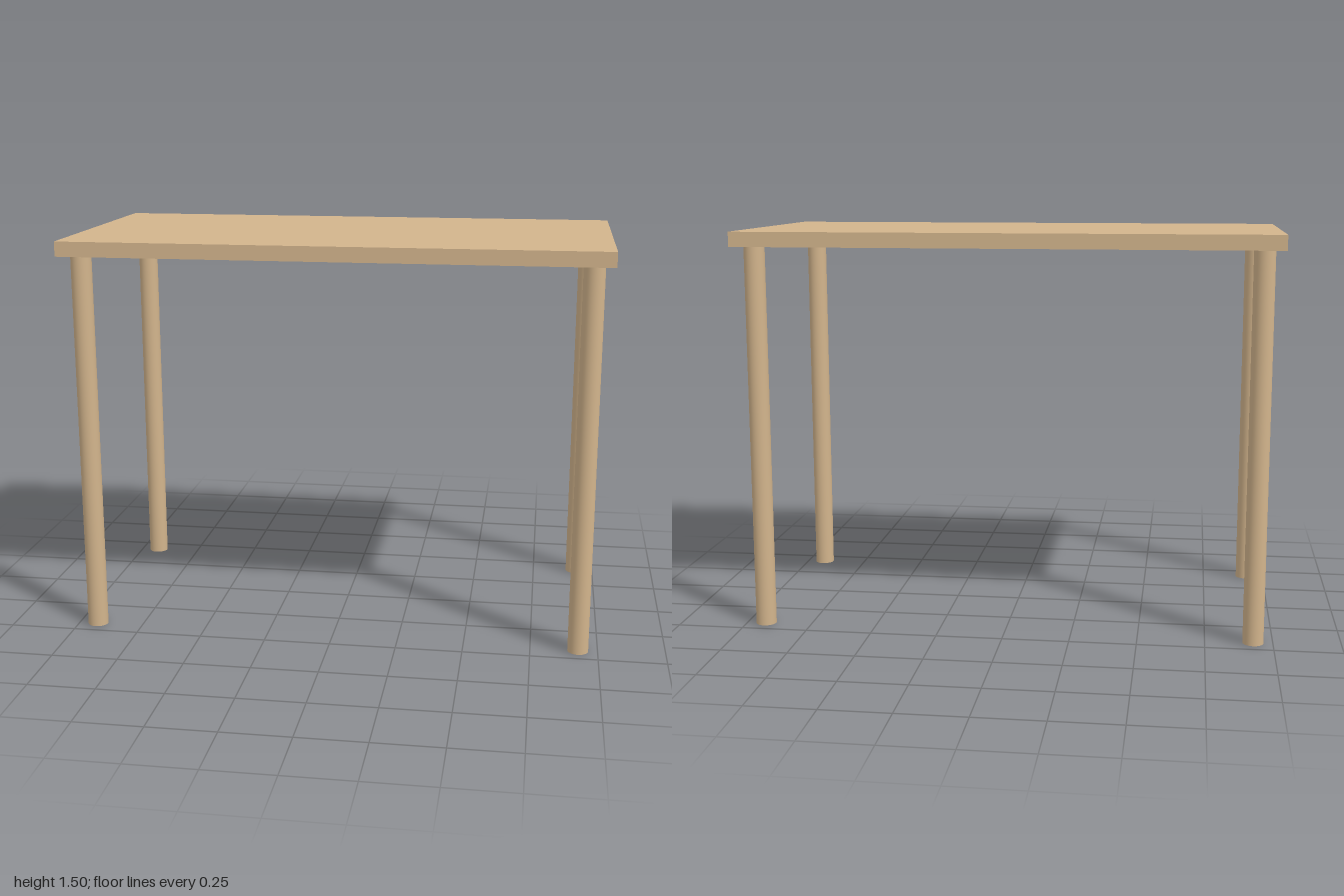
import * as THREE from 'three';

const HEIGHT = 1.5, THICKNESS = 0.055, LEG_RADIUS = 0.0385;
const LEG_X = 0.927, LEG_Z = 0.427;

export function createModel() {
  const table = new THREE.Group();
  table.name = 'table';
  const wood = new THREE.MeshStandardMaterial({ color: 0xd2b48c });

  // Flat rectangular slab
  const top = new THREE.Mesh(new THREE.BoxGeometry(2, THICKNESS, 1), wood);
  top.name = 'tableTop';
  top.position.y = HEIGHT - THICKNESS / 2;
  table.add(top);

  // Four round legs, set in from the corners
  const legHeight = HEIGHT - THICKNESS;
  const legGeometry = new THREE.CylinderGeometry(LEG_RADIUS, LEG_RADIUS, legHeight, 32);
  for (const [side, x] of [['Left', LEG_X], ['Right', -LEG_X]]) {
    for (const [end, z] of [['front', LEG_Z], ['back', -LEG_Z]]) {
      const leg = new THREE.Mesh(legGeometry, wood);
      leg.name = `${end}${side}Leg`;
      leg.position.set(x, legHeight / 2, z);
      table.add(leg);
    }
  }
  return table;
}
